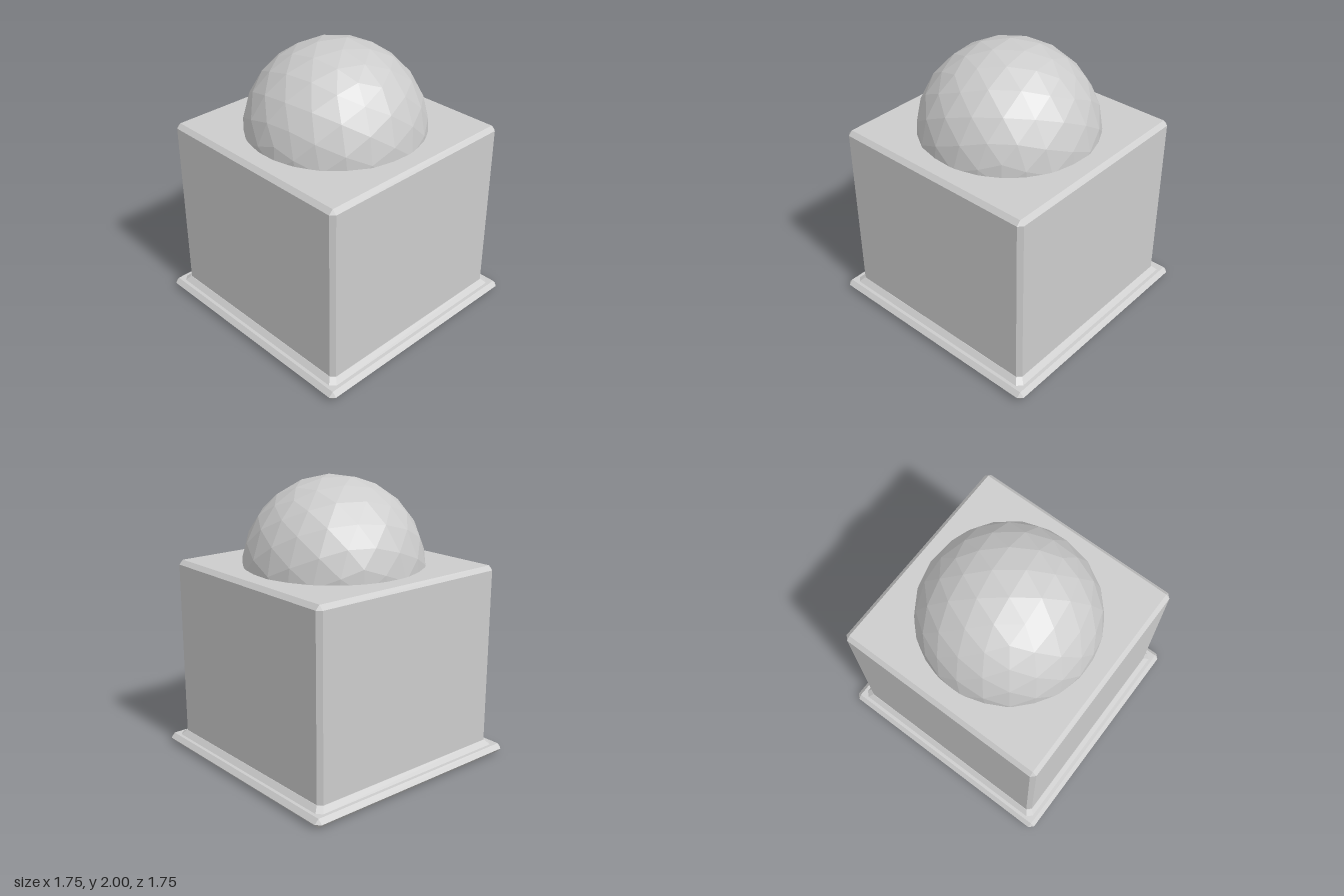
import * as THREE from 'three';

const material = new THREE.MeshStandardMaterial({ color: 0xcccccc, flatShading: true });

// Square ring with cut corners: half width, height, corner cut
function ring([h, y, c]) {
  const k = h - c;
  return [[h, -k], [k, -h], [-k, -h], [-h, -k], [-h, k], [-k, h], [k, h], [h, k]]
    .map(([x, z]) => new THREE.Vector3(x, y, z));
}

// Closed solid lofted through a stack of rings, bottom to top
function loft(name, stack) {
  const rings = stack.map(ring);
  const positions = [];
  const triangle = (a, b, c) => {
    if (new THREE.Triangle(a, b, c).getArea() < 1e-7) return;
    for (const p of [a, b, c]) positions.push(p.x, p.y, p.z);
  };
  for (let r = 0; r < rings.length - 1; r++) {
    const low = rings[r], high = rings[r + 1];
    for (let i = 0; i < 8; i++) {
      const j = (i + 1) % 8;
      triangle(low[i], low[j], high[j]);
      triangle(low[i], high[j], high[i]);
    }
  }
  const bottom = rings[0], top = rings[rings.length - 1];
  for (let i = 1; i < 7; i++) {
    triangle(bottom[0], bottom[i + 1], bottom[i]);
    triangle(top[0], top[i], top[i + 1]);
  }
  const geometry = new THREE.BufferGeometry();
  geometry.setAttribute('position', new THREE.Float32BufferAttribute(positions, 3));
  geometry.computeVertexNormals();
  const mesh = new THREE.Mesh(geometry, material);
  mesh.name = name;
  return mesh;
}

export function createModel() {
  const model = new THREE.Group();
  model.name = 'domedPedestal';

  // Bevelled base plate with a small sloping step up to the block
  model.add(loft('basePlate', [
    [0.845, 0, 0], [0.877, 0.035, 0.032], [0.847, 0.067, 0],
    [0.823, 0.067, 0.035], [0.79, 0.102, 0.03],
  ]));

  // Main block with bevelled vertical and top edges
  model.add(loft('block', [
    [0.787, 0.1, 0.03], [0.787, 1.367, 0.03], [0.757, 1.398, 0],
  ]));

  // Faceted ball sunk into the block, turned so one facet lies flat on top
  const ball = new THREE.IcosahedronGeometry(0.64, 3);
  ball.applyQuaternion(new THREE.Quaternion().setFromUnitVectors(
    new THREE.Vector3(1, 1, 1).normalize(), new THREE.Vector3(0, 1, 0)));
  ball.computeBoundingBox();
  const dome = new THREE.Mesh(ball, material);
  dome.name = 'dome';
  dome.position.y = 2 - ball.boundingBox.max.y;
  model.add(dome);

  return model;
}
